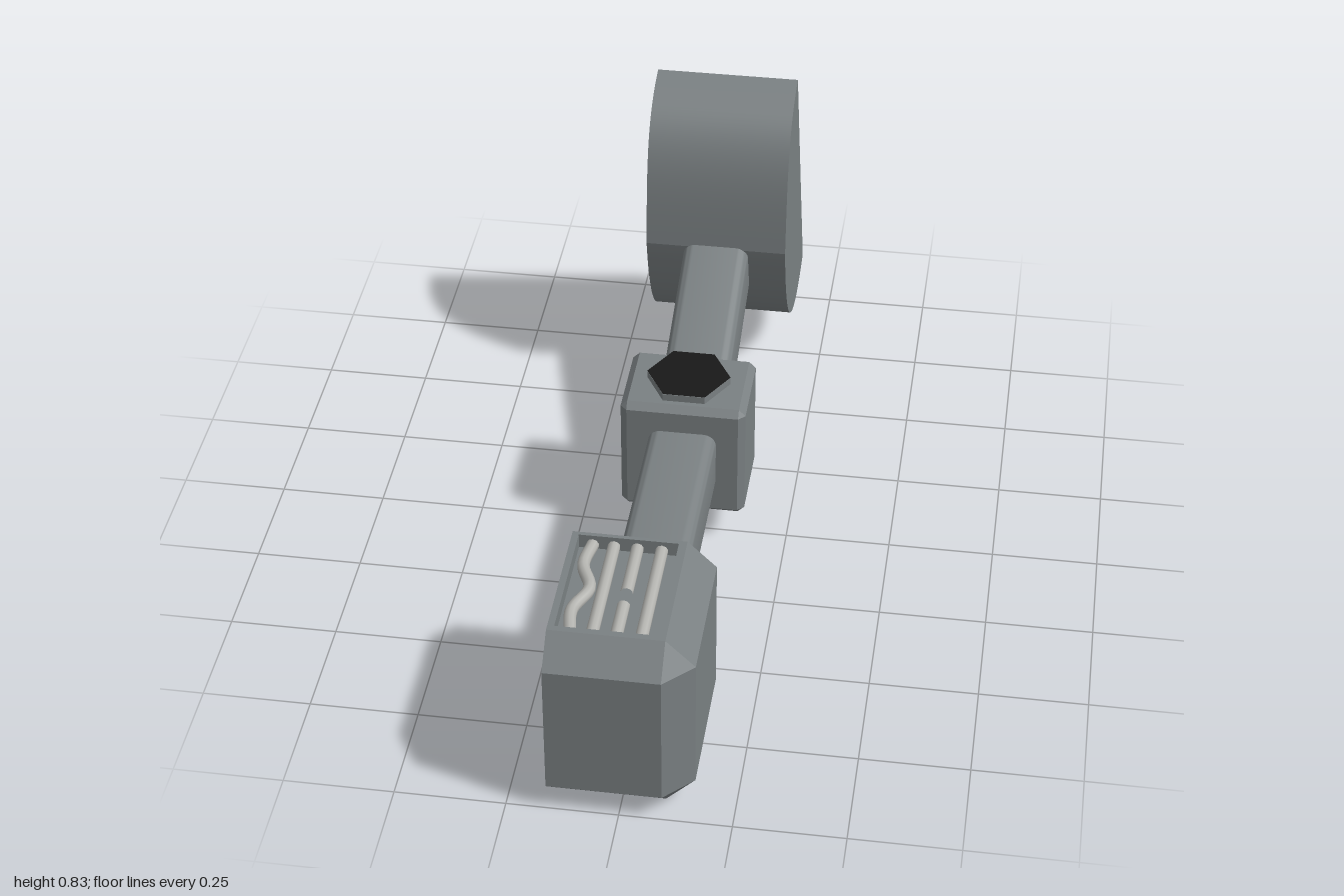
import * as THREE from 'three';
import { toCreasedNormals } from 'three/addons/utils/BufferGeometryUtils.js';

const steel = new THREE.MeshStandardMaterial({ color: 0x7a8082 });
const wire = new THREE.MeshStandardMaterial({ color: 0xb4b4b0 });
const black = new THREE.MeshStandardMaterial({ color: 0x181818 });

// Horizontal rectangle with cut corners: cl on the -x side, cr on the +x side
function ring(y, x0, x1, z0, z1, cl = 0, cr = 0) {
  return [
    [x0 + cl, y, z1], [x1 - cr, y, z1], [x1, y, z1 - cr], [x1, y, z0 + cr],
    [x1 - cr, y, z0], [x0 + cl, y, z0], [x0, y, z0 + cl], [x0, y, z1 - cl],
  ];
}

// Faceted skin through a stack of rings, closed at both ends
function loft(rings) {
  const pos = [];
  const tri = (a, b, c) => pos.push(...a, ...b, ...c);
  const n = rings[0].length;
  for (let r = 0; r < rings.length - 1; r++) {
    const a = rings[r], b = rings[r + 1];
    for (let i = 0; i < n; i++) {
      const j = (i + 1) % n;
      tri(a[i], a[j], b[j]);
      tri(a[i], b[j], b[i]);
    }
  }
  const first = rings[0], last = rings[rings.length - 1];
  for (let i = 1; i < n - 1; i++) {
    tri(first[0], first[i + 1], first[i]);
    tri(last[0], last[i], last[i + 1]);
  }
  const g = new THREE.BufferGeometry();
  g.setAttribute('position', new THREE.Float32BufferAttribute(pos, 3));
  g.computeVertexNormals();
  return g;
}

// Square bar with rounded edges, running along z from 0 to length
function barGeometry(length, h = 0.081, r = 0.03) {
  const s = new THREE.Shape();
  s.absarc(h - r, h - r, r, 0, Math.PI / 2);
  s.absarc(r - h, h - r, r, Math.PI / 2, Math.PI);
  s.absarc(r - h, r - h, r, Math.PI, Math.PI * 1.5);
  s.absarc(h - r, r - h, r, Math.PI * 1.5, Math.PI * 2);
  s.closePath();
  const g = new THREE.ExtrudeGeometry(s, { depth: length, bevelEnabled: false, curveSegments: 6 });
  return toCreasedNormals(g, 0.5);
}

export function createModel() {
  const model = new THREE.Group();
  model.name = 'model';
  const add = (name, geometry, material = steel, parent = model) => {
    const mesh = new THREE.Mesh(geometry, material);
    mesh.name = name;
    parent.add(mesh);
    return mesh;
  };

  // Front block: flat on the -x side, chamfered elsewhere, with a tray sunk in the top
  const c = 0.065;
  add('frontBlock', loft([
    ring(0, -0.16, 0.16 - c, 0.54 + c, 1 - c),
    ring(c, -0.16, 0.16, 0.54, 1, 0, c),
    ring(0.46 - c, -0.16, 0.16, 0.54, 1, 0, c),
    ring(0.46, -0.16, 0.16 - c, 0.54 + c, 1 - c),
    ring(0.46, -0.145, 0.077, 0.615, 0.92),
    ring(0.425, -0.145, 0.077, 0.615, 0.92),
  ]));

  // Wires in the tray, as paths of [x, z]
  const wires = new THREE.Group();
  wires.name = 'wires';
  model.add(wires);
  [
    [[-0.113, 0.618], [-0.122, 0.69], [-0.096, 0.765], [-0.122, 0.84], [-0.113, 0.917]],
    [[-0.066, 0.618], [-0.066, 0.917]],
    [[-0.014, 0.618], [-0.014, 0.77]],
    [[-0.014, 0.81], [-0.014, 0.917]],
    [[0.04, 0.618], [0.04, 0.917]],
  ].forEach((path, i) => {
    const curve = new THREE.CatmullRomCurve3(path.map(([x, z]) => new THREE.Vector3(x, 0.439, z)));
    add('wire' + (i + 1), new THREE.TubeGeometry(curve, path.length > 2 ? 24 : 1, 0.014, 10), wire, wires);
  });

  // Arms: a level one to the block, a rising one to the head
  add('frontArm', barGeometry(0.57)).position.set(0, 0.234, 0);
  const rearArm = add('rearArm', barGeometry(0.53));
  rearArm.position.set(0, 0.214, -0.11);
  rearArm.rotation.set(0.338, Math.PI, 0, 'YXZ');
  rearArm.rotation.x = -0.338;

  // Joint housing with small chamfers
  const b = 0.016;
  add('jointHousing', loft([
    ring(0.079, -0.149 + b, 0.149 - b, -0.188 + b, 0.037 - b),
    ring(0.079 + b, -0.149, 0.149, -0.188, 0.037, b, b),
    ring(0.385 - b, -0.149, 0.149, -0.188, 0.037, b, b),
    ring(0.385, -0.149 + b, 0.149 - b, -0.188 + b, 0.037 - b),
  ]));

  // Hexagonal bolt with a black top, corners pointing to the sides
  const hex = (h) => new THREE.CylinderGeometry(0.1, 0.1, h, 6).rotateY(Math.PI / 6).toNonIndexed();
  const boltGeometry = hex(0.03);
  boltGeometry.computeVertexNormals();
  add('bolt', boltGeometry).position.set(0, 0.388, -0.078);
  const top = add('boltTop', new THREE.CircleGeometry(0.1, 6).rotateX(-Math.PI / 2), black);
  top.position.set(0, 0.404, -0.078);

  // Head: tilted bulging profile in (-z, y), extruded across x
  const profile = new THREE.Shape();
  profile.moveTo(0.753, 0.828);
  profile.bezierCurveTo(0.571, 0.791, 0.56, 0.662, 0.547, 0.448);
  profile.bezierCurveTo(0.598, 0.201, 0.748, 0.04, 1, 0.14);
  profile.closePath();
  const head = new THREE.ExtrudeGeometry(profile, { depth: 0.348, bevelEnabled: false, curveSegments: 32 });
  head.translate(0, 0, -0.174).rotateY(Math.PI / 2);
  add('head', toCreasedNormals(head, 0.2));

  return model;
}
